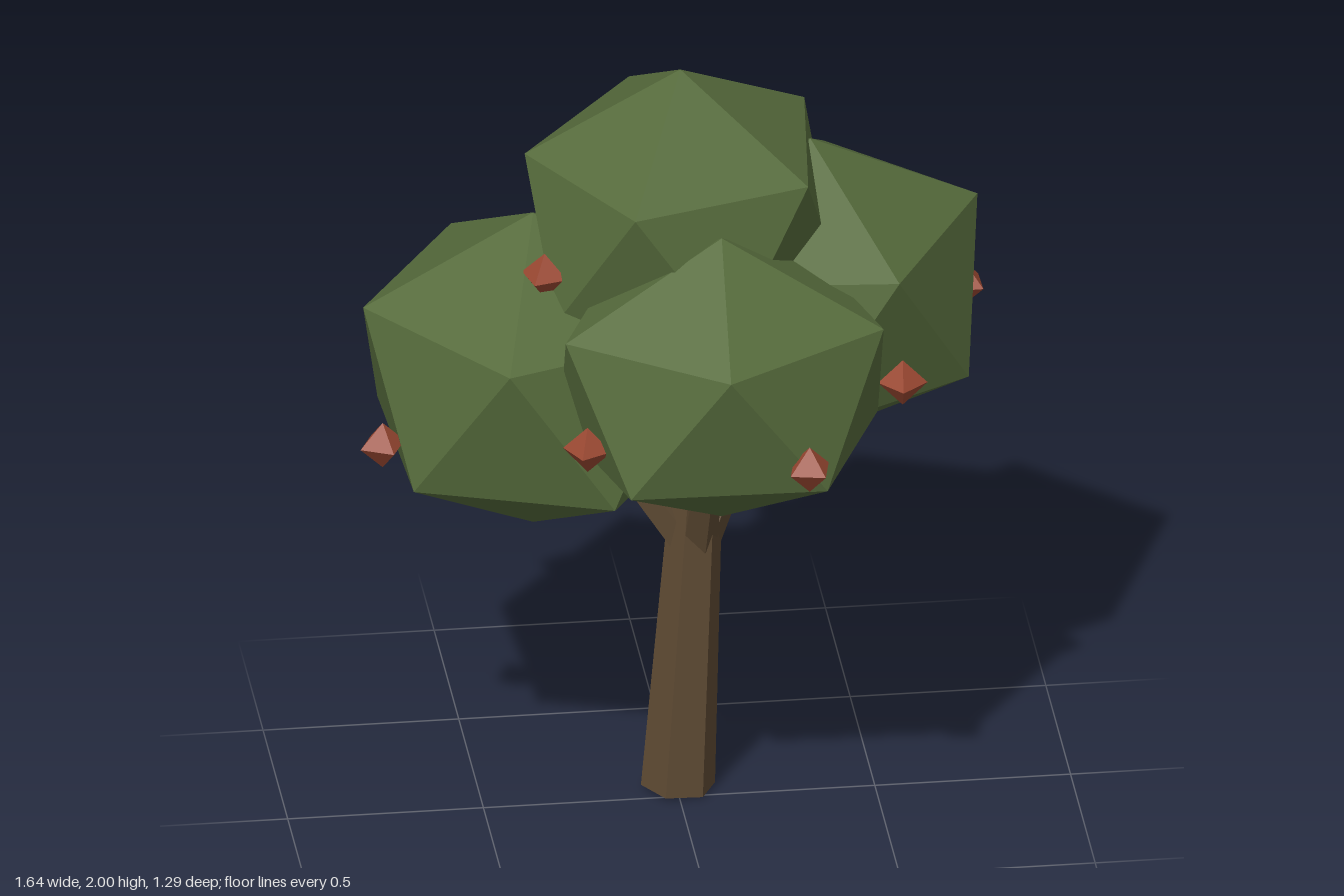
import * as THREE from 'three';
import { ConvexGeometry } from 'three/addons/geometries/ConvexGeometry.js';

const flat = (name, color) => {
  const m = new THREE.MeshStandardMaterial({ color, flatShading: true });
  m.name = name;
  return m;
};

// Twenty-sided leaf clump: two staggered five-point rings between two poles.
// a and b are the [x, z] vectors that shape and turn the rings.
function clumpGeometry(halfHeight, a, b) {
  const points = [new THREE.Vector3(0, halfHeight, 0), new THREE.Vector3(0, -halfHeight, 0)];
  for (let i = 0; i < 10; i++) {
    const t = (i * Math.PI) / 5;
    const y = (i % 2 ? -0.447 : 0.447) * halfHeight;
    const c = Math.cos(t), s = Math.sin(t);
    points.push(new THREE.Vector3(a[0] * c + b[0] * s, y, a[1] * c + b[1] * s));
  }
  return new ConvexGeometry(points);
}

// Tapered limb running from one point to another
function limb(name, from, to, r0, r1, sides, turn, material) {
  const p = new THREE.Vector3(...from), q = new THREE.Vector3(...to);
  const dir = q.clone().sub(p);
  const geometry = new THREE.CylinderGeometry(r1, r0, dir.length(), sides);
  geometry.rotateY(turn);
  const mesh = new THREE.Mesh(geometry, material);
  mesh.name = name;
  mesh.position.copy(p).add(q).multiplyScalar(0.5);
  mesh.quaternion.setFromUnitVectors(new THREE.Vector3(0, 1, 0), dir.normalize());
  return mesh;
}

export function createModel() {
  const tree = new THREE.Group();
  tree.name = 'tree';
  const bark = flat('bark brown', 0x5e4a33);
  const leaf = flat('leaf green', 0x566b3c);
  const red = flat('fruit red', 0x9a4832);

  // Leaning trunk and three branches, one for each lower clump
  tree.add(limb('trunk', [0.005, 0.007, -0.063], [0.075, 1.25, -0.07], 0.096, 0.054, 6, Math.PI / 6 + 0.07, bark));
  const fork = [0.052, 0.66, -0.066];
  tree.add(limb('leftBranch', fork, [0.33, 1.3, -0.19], 0.05, 0.035, 5, 0.3, bark));
  tree.add(limb('rightBranch', fork, [-0.31, 1.18, -0.13], 0.05, 0.035, 5, 0.3, bark));
  tree.add(limb('frontBranch', fork, [0.08, 1.28, 0.19], 0.05, 0.035, 5, 0.3, bark));

  // Leaf clumps: name, centre, half height, ring vectors
  const clumps = [
    ['topClump', [0.02, 1.6, -0.135], 0.4, [-0.396, -0.014], [0.045, -0.426]],
    ['frontClump', [0.08, 1.305, 0.23], 0.395, [-0.025, 0.39], [-0.426, -0.01]],
    ['leftClump', [0.36, 1.325, -0.2], 0.425, [0.44, -0.1], [0.047, 0.431]],
    ['rightClump', [-0.357, 1.18, -0.13], 0.44, [-0.434, 0], [-0.021, -0.463]],
  ];
  for (const [name, centre, half, a, b] of clumps) {
    const mesh = new THREE.Mesh(clumpGeometry(half, a, b), leaf);
    mesh.name = name;
    mesh.position.set(...centre);
    tree.add(mesh);
  }

  // Small eight-sided fruits on the clumps
  const fruits = new THREE.Group();
  fruits.name = 'fruits';
  const spots = [
    [-0.765, 1.08, 0.06], [-0.285, 1.21, 0.405], [0.26, 1.21, 0.585], [0.55, 1.23, 0.17],
    [0.775, 1.22, -0.385], [0.17, 1.22, -0.585], [-0.35, 1.53, 0.05], [-0.17, 1.5, -0.49],
    [-0.58, 1.09, -0.53], [0.04, 1.09, -0.31], [-0.13, 1.07, 0.22],
  ];
  const fruitGeometry = new THREE.OctahedronGeometry(0.063);
  spots.forEach((spot, i) => {
    const mesh = new THREE.Mesh(fruitGeometry, red);
    mesh.name = 'fruit';
    mesh.position.set(...spot);
    mesh.rotation.y = 0.35 + i * 0.9;
    fruits.add(mesh);
  });
  tree.add(fruits);
  return tree;
}
